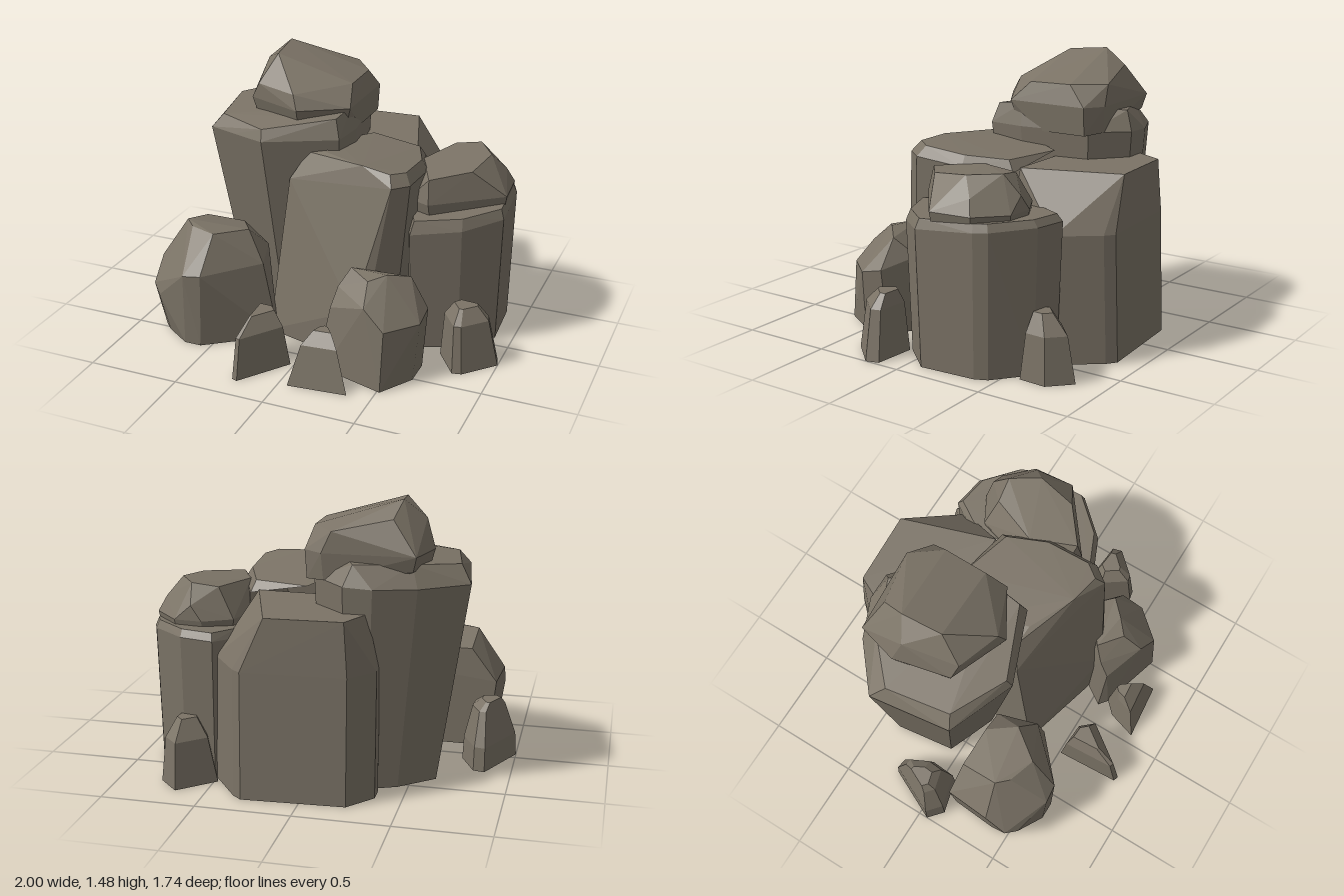
import * as THREE from 'three';
import { ConvexGeometry } from 'three/addons/geometries/ConvexGeometry.js';

const stone = new THREE.MeshStandardMaterial({ color: 0x7b7366, flatShading: true, side: THREE.DoubleSide });
stone.name = 'greyBrownStone';

// Drops faces on the ground, and those whose corners are all buried, leaving an open shell.
function openShell(geometry, buried) {
  const a = geometry.getAttribute('position').array;
  const kept = [];
  for (let i = 0; i < a.length; i += 9) {
    const corners = [0, 3, 6].map((k) => a.slice(i + k, i + k + 3));
    const onGround = corners.every(([, y]) => y < 1e-4);
    if (!onGround && !corners.every(([x, , z]) => buried(x, z))) kept.push(...a.slice(i, i + 9));
  }
  const shell = new THREE.BufferGeometry();
  shell.setAttribute('position', new THREE.Float32BufferAttribute(kept, 3));
  shell.computeVertexNormals();
  return shell;
}

// A faceted rock: the hull of a plan outline [x, z] repeated at several levels
// [y, scale, dx, dz, slopeX, slopeZ], plus a few extra corner points [x, y, z].
function rock(name, outline, levels, corners = [], buried = () => false) {
  const n = outline.length;
  const cx = outline.reduce((s, p) => s + p[0], 0) / n;
  const cz = outline.reduce((s, p) => s + p[1], 0) / n;
  const points = corners.map((c) => new THREE.Vector3(...c));
  for (const [y, s, dx = 0, dz = 0, slopeX = 0, slopeZ = 0] of levels) {
    for (const [x, z] of outline) {
      const ox = (x - cx) * s, oz = (z - cz) * s;
      points.push(new THREE.Vector3(cx + ox + dx, y + ox * slopeX + oz * slopeZ, cz + oz + dz));
    }
  }
  const mesh = new THREE.Mesh(openShell(new ConvexGeometry(points), buried), stone);
  mesh.name = name;
  return mesh;
}

export function createModel() {
  const group = new THREE.Group();
  group.name = 'rockFormation';

  // Tall pillars; walls buried in a neighbour are left out
  group.add(
    rock('tallPillar',
      [[-0.78, -0.37], [-0.54, -0.57], [-0.33, -0.66], [-0.18, -0.66], [0, -0.5],
        [0.06, -0.12], [0.04, 0.08], [-0.35, 0.23], [-0.55, 0.15], [-0.72, 0.08]],
      [[0, 0.74, 0.04, -0.05], [1.08, 1, 0, 0, 0.04, 0]],
      [[-0.72, 1.15, -0.3], [-0.5, 1.18, -0.5], [-0.22, 1.19, -0.61], [0.03, 1.22, -0.12],
        [0.01, 1.2, 0.05], [-0.36, 1.14, 0.2], [-0.66, 1.14, 0.05]]),
    rock('frontPillar',
      [[0.05, -0.4], [0.4, -0.3], [0.5, -0.05], [0.5, 0.24], [0.43, 0.33], [-0.06, 0.15], [-0.1, -0.1]],
      [[0.95, 1, 0, 0, 0, 0.07], [1.015, 0.86, 0, 0, -0.04, 0.08]],
      [[-0.28, 0, 0.31], [0.3, 0, 0.47], [0.44, 0, 0.32], [0.4, 0, -0.3], [0.05, 0, -0.4], [-0.25, 0, -0.1],
        [-0.21, 0.87, 0.17], [-0.12, 1.02, 0.12], [0.27, 0.3, 0.455], [0.24, 1.045, 0.25]],
      (x, z) => z < -0.29 || (x < 0.06 && z < -0.05)),
    rock('rightPillar',
      [[0.92, -0.07], [0.9, -0.4], [0.87, -0.47], [0.68, -0.63], [0.5, -0.66], [0.4, -0.5],
        [0.4, 0], [0.5, 0.23], [0.75, 0.12]],
      [[0, 0.94], [0.73, 1, 0, 0, 0.03, -0.08], [0.78, 0.93, 0, 0, 0.02, -0.05]], [],
      (x) => x < 0.45),
    rock('backPillar',
      [[-0.36, -0.62], [-0.36, -0.7], [-0.24, -0.84], [0.3, -0.87], [0.35, -0.83], [0.5, -0.63],
        [0.38, -0.3], [-0.3, -0.3]],
      [[0, 1], [0.67, 1, 0, 0.025]],
      [[-0.31, 0.95, -0.62], [-0.22, 0.95, -0.8], [0.18, 0.95, -0.82], [0.35, 0.95, -0.31], [-0.28, 0.95, -0.32]],
      (x, z) => z > -0.33),
  );

  // Boulders resting on the pillars
  group.add(
    rock('topBoulder',
      [[-0.59, -0.34], [-0.53, -0.56], [-0.05, -0.57], [0.05, -0.5], [0.05, -0.05], [-0.2, 0.1], [-0.52, -0.03]],
      [[1.15, 0.93], [1.23, 1]],
      [[-0.43, 1.48, -0.36], [-0.41, 1.46, -0.14], [0.02, 1.34, -0.4], [0.02, 1.335, -0.16],
        [-0.54, 1.38, -0.3], [-0.4, 1.4, -0.49], [-0.1, 1.34, -0.56], [-0.23, 1.31, 0.07], [-0.47, 1.32, -0.01],
        [0.04, 1.08, -0.22], [0.04, 1.08, -0.5], [-0.06, 1.09, -0.56], [-0.4, 1.1, -0.5]]),
    rock('rightBoulder',
      [[0.39, -0.25], [0.45, -0.45], [0.6, -0.53], [0.75, -0.52], [0.89, -0.38], [0.91, -0.15], [0.56, 0.12], [0.43, 0.07]],
      [[0.74, 0.95], [0.82, 1]],
      [[0.54, 0.98, -0.41], [0.68, 1, -0.43], [0.78, 0.995, -0.28], [0.74, 0.97, -0.06], [0.55, 0.95, 0.09],
        [0.44, 0.97, -0.15], [0.85, 0.9, -0.35], [0.66, 0.9, -0.52]]),
  );

  // Medium rocks in front
  group.add(
    rock('frontLeftRock',
      [[-0.86, 0.13], [-0.88, 0.4], [-0.87, 0.48], [-0.82, 0.53], [-0.67, 0.63], [-0.57, 0.63], [-0.2, 0.36], [-0.38, 0.13]],
      [[0, 0.95, 0.02, 0]],
      [[-0.89, 0.39, 0.39], [-0.885, 0.27, 0.51], [-0.83, 0.23, 0.56], [-0.87, 0.38, 0.14], [-0.74, 0.62, 0.36],
        [-0.68, 0.61, 0.42], [-0.53, 0.61, 0.47], [-0.4, 0.59, 0.3], [-0.5, 0.56, 0.15], [-0.73, 0.56, 0.15],
        [-0.64, 0.41, 0.63], [-0.54, 0.42, 0.62], [-0.29, 0.43, 0.36], [-0.36, 0.44, 0.14]]),
    rock('frontRightRock',
      [[0.1, 0.55], [0.25, 0.33], [0.5, 0.24], [0.64, 0.35], [0.64, 0.51], [0.52, 0.7], [0.15, 0.59]],
      [[0, 0.96]],
      [[0.2, 0.45, 0.48], [0.25, 0.54, 0.42], [0.38, 0.53, 0.52], [0.46, 0.55, 0.45], [0.56, 0.52, 0.36],
        [0.5, 0.42, 0.25], [0.66, 0.36, 0.37], [0.66, 0.33, 0.5], [0.52, 0.33, 0.66], [0.4, 0.43, 0.63],
        [0.18, 0.35, 0.54]]),
  );

  // Small shards around the base: outline, then level heights and shrinkage
  const shards = [
    ['leftShard', [[-1, 0.05], [-0.86, -0.24], [-0.8, -0.23], [-0.72, -0.07], [-0.73, 0.07], [-0.92, 0.12]],
      [[0, 1], [0.13, 0.95], [0.31, 0.6], [0.35, 0.35, -0.02, 0]]],
    ['rightShard', [[0.68, 0.2], [0.8, 0.37], [0.85, 0.36], [1, 0.2], [0.98, 0.13], [0.75, 0.11]],
      [[0, 1], [0.26, 0.76, -0.02, 0], [0.33, 0.4, -0.03, -0.02]]],
    ['backShard', [[0.66, -0.84], [0.77, -0.73], [0.76, -0.58], [0.55, -0.5], [0.48, -0.68]],
      [[0, 1], [0.24, 0.75, 0.01, 0], [0.34, 0.35, 0.01, 0.02]]],
    ['frontShard', [[-0.26, 0.51], [-0.1, 0.52], [-0.02, 0.61], [-0.21, 0.87], [-0.24, 0.86]],
      [[0, 1], [0.22, 0.8, -0.01, -0.01], [0.3, 0.42, -0.01, -0.05]]],
    ['frontCentreShard', [[0.05, 0.81], [0.37, 0.78], [0.24, 0.61], [0.17, 0.58], [0.1, 0.65]],
      [[0, 1], [0.22, 0.6, 0, -0.01], [0.28, 0.3, 0, -0.04]]],
  ];
  for (const [name, outline, levels] of shards) group.add(rock(name, outline, levels));

  return group;
}
